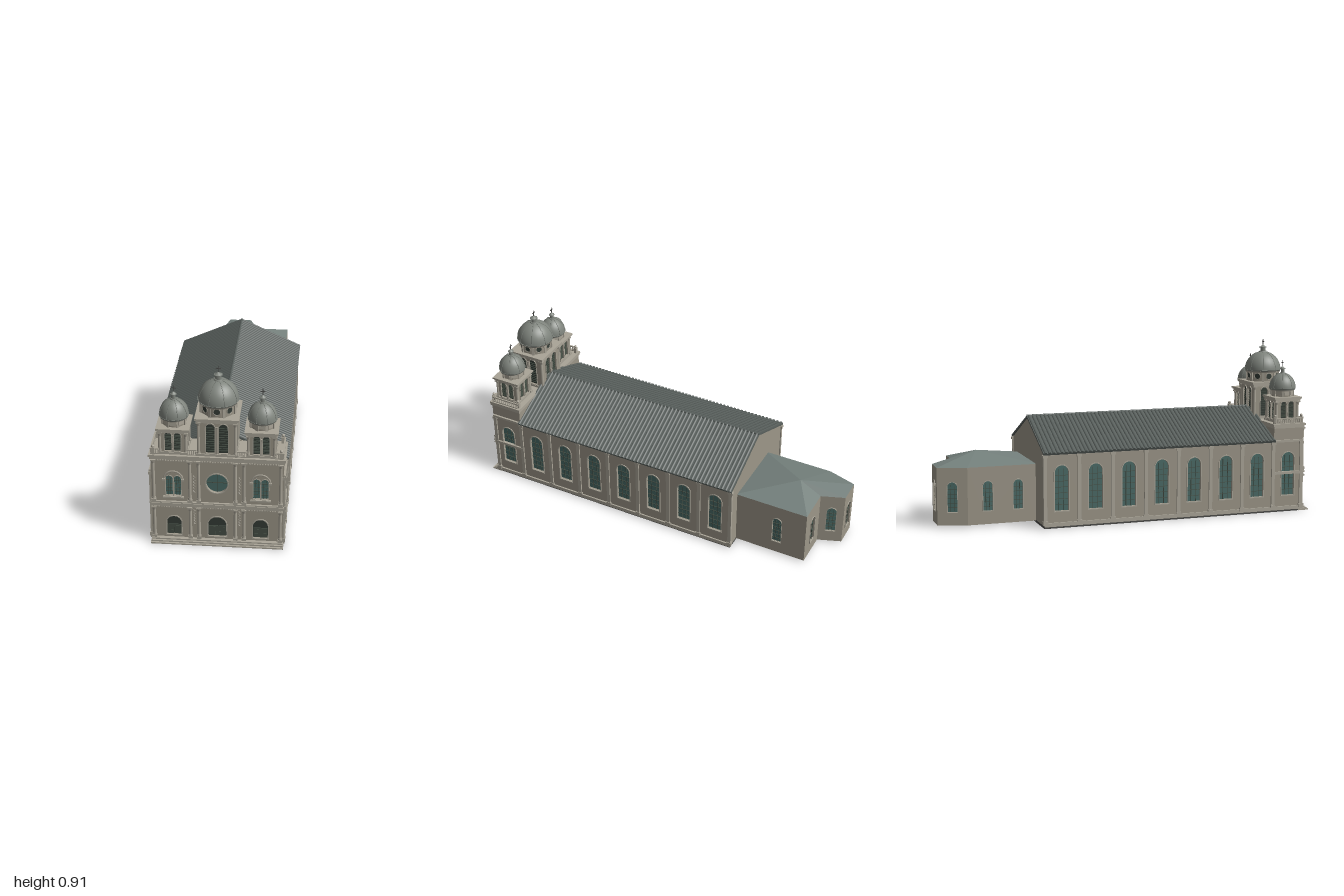
import * as THREE from 'three';
import { mergeGeometries } from 'three/addons/utils/BufferGeometryUtils.js';

const mat = (color) => new THREE.MeshStandardMaterial({ color, side: THREE.DoubleSide });
const STONE = mat(0x9c9688), TRIM = mat(0xaaa598), ROOF = mat(0x5a615e), DOME = mat(0x80857e),
  SLATE = mat(0x74807c), GLASS = mat(0x4a6a66), DARK = mat(0x343c36), LEAF = mat(0x454f45), METAL = mat(0x4a4a48);

const box = (w, h, d, x = 0, y = 0, z = 0) => new THREE.BoxGeometry(w, h, d).translate(x, y, z);
const cyl = (r0, r1, h, x, y, z, n = 10) => new THREE.CylinderGeometry(r1, r0, h, n).translate(x, y + h / 2, z);
const merge = (list) => mergeGeometries(list.map((g) => (g.index ? g.toNonIndexed() : g)));

function add(parent, name, geo, material) {
  const m = new THREE.Mesh(Array.isArray(geo) ? merge(geo) : geo, material);
  m.name = name;
  parent.add(m);
  return m;
}
function group(parent, name, x = 0, y = 0, z = 0, ry = 0) {
  const g = new THREE.Group();
  g.name = name;
  g.position.set(x, y, z);
  g.rotation.y = ry;
  parent.add(g);
  return g;
}

// Outline of an opening, arched or round, grown by t
function outline(C, o, t = 0) {
  const p = new C();
  if (o.round) return p.absarc(o.x, o.y, o.w / 2 + t, 0, Math.PI * 2, false), p;
  const r = o.w / 2 + t;
  p.moveTo(o.x - r, o.y - t);
  p.lineTo(o.x + r, o.y - t);
  p.lineTo(o.x + r, o.y + o.h - o.w / 2);
  p.absarc(o.x, o.y + o.h - o.w / 2, r, 0, Math.PI, false);
  p.closePath();
  return p;
}

// Wall facing local +z with framed openings, filled by glass, louvres or a door
function wall(parent, name, w, h, depth, openings, x, y, z, ry) {
  const g = group(parent, name, x, y, z, ry);
  const s = new THREE.Shape([[-w / 2, 0], [w / 2, 0], [w / 2, h], [-w / 2, h]].map((p) => new THREE.Vector2(...p)));
  const frames = [], fills = { glass: [], dark: [] }, bars = [], leaves = [];
  for (const o of openings) {
    s.holes.push(outline(THREE.Path, o));
    const t = o.t ?? 0.005, f = outline(THREE.Shape, o, t);
    f.holes.push(outline(THREE.Path, o));
    frames.push(new THREE.ExtrudeGeometry(f, { depth: 0.006, bevelEnabled: false, curveSegments: 12 }).translate(0, 0, depth - 0.002));
    fills[o.fill ?? 'glass'].push(new THREE.ShapeGeometry(outline(THREE.Shape, o), 12).translate(0, 0, 0.003));
    if (o.round) bars.push(box(o.w, 0.003, 0.004, o.x, o.y, 0.005), box(0.003, o.w, 0.004, o.x, o.y, 0.005));
    else if (o.door) {
      for (const k of [-1, 1]) {
        leaves.push(box(o.w * 0.47, o.h * 0.5, 0.004, o.x + k * o.w * 0.245, o.y + o.h * 0.25, 0.006));
        for (const v of [0.13, 0.36]) leaves.push(box(o.w * 0.3, o.h * 0.17, 0.004, o.x + k * o.w * 0.245, o.y + o.h * v, 0.008));
      }
    } else {
      const n = o.bars ?? 5, top = o.h - o.w * 0.3;
      for (let i = 1; i <= n; i++) bars.push(box(o.w * 0.98, 0.002, 0.004, o.x, o.y + (top * i) / (n + 1), 0.005));
      if (!o.fill) for (const k of [-1, 1]) bars.push(box(0.002, o.h - o.w * 0.25, 0.004, o.x + k * o.w * 0.18, o.y + (o.h - o.w * 0.25) / 2, 0.005));
    }
  }
  add(g, 'wallPanel', new THREE.ExtrudeGeometry(s, { depth, bevelEnabled: false, curveSegments: 12 }), STONE);
  if (frames.length) add(g, 'openingFrames', frames, TRIM);
  if (fills.glass.length) add(g, 'windowGlass', fills.glass, GLASS);
  if (fills.dark.length) add(g, 'darkOpenings', fills.dark, DARK);
  if (bars.length) add(g, 'windowBars', bars, LEAF);
  if (leaves.length) add(g, 'doorLeaves', leaves, LEAF);
  return g;
}

// Pilaster with base and capital
const column = (x, y, z, r, h) => [
  cyl(r, r * 0.88, h, x, y, z),
  box(r * 2.6, r * 1.6, r * 2.6, x, y + r * 0.8, z), cyl(r * 1.2, r * 1.1, r, x, y + r * 1.6, z),
  cyl(r * 0.9, r * 1.3, r * 1.6, x, y + h - r * 2.4, z), box(r * 2.8, r * 0.8, r * 2.8, x, y + h - r * 0.4, z),
];

// Dome with ribs, rim, lantern and cross
function dome(parent, y, R, H) {
  const g = group(parent, 'dome', 0, y, 0), pts = [];
  for (let i = 0; i <= 14; i++) {
    const a = (i / 14) * Math.PI / 2;
    pts.push(new THREE.Vector2(Math.max(R * Math.cos(a), 0.0001), H * Math.sin(a)));
  }
  add(g, 'domeShell', new THREE.LatheGeometry(pts, 32), DOME);
  const ribs = [];
  for (let k = 0; k < 8; k++)
    ribs.push(new THREE.TorusGeometry(R, 0.002, 4, 14, Math.PI / 2).scale(1, H / R, 1).rotateY((k + 0.5) * Math.PI / 4));
  add(g, 'domeRibs', ribs, DOME);
  add(g, 'domeRim', cyl(R * 0.98, R * 1.03, 0.008, 0, -0.006, 0, 32), DOME);
  const l = R * 0.19;
  add(g, 'lantern', [cyl(l * 1.25, l * 1.1, 0.006, 0, H - 0.003, 0), cyl(l * 0.8, l * 0.8, 0.024, 0, H, 0, 8),
    cyl(l * 1.15, l * 1.15, 0.004, 0, H + 0.022, 0), cyl(l, 0.001, 0.012, 0, H + 0.026, 0)], DOME);
  add(g, 'cross', [box(0.003, 0.04, 0.003, 0, H + 0.05, 0), box(0.024, 0.003, 0.003, 0, H + 0.056, 0)], METAL);
}

// Square bell tower with paired louvred arches on each side
function tower(parent, name, x, z, p) {
  const g = group(parent, name, x, 0, z), y0 = 0.48, y1 = p.top - 0.022, half = p.w / 2;
  add(g, 'towerCore', box(p.w - 0.02, y1 - 0.4, p.w - 0.02, 0, (y1 + 0.4) / 2, 0), STONE);
  for (let k = 0; k < 4; k++) {
    const a = k * Math.PI / 2, d = half - 0.01;
    wall(g, 'belfryWall', p.w, y1 - y0, 0.01, [-1, 1].map((s) => ({ x: s * p.ox, y: 0.015, w: p.ow, h: p.oh, fill: 'dark', bars: 11, t: 0.004 })),
      d * Math.sin(a), y0, d * Math.cos(a), a);
  }
  const cols = [], e = half - 0.003;
  for (const sx of [-1, 1]) for (const sz of [-1, 1]) cols.push(...column(sx * e, y0, sz * e, 0.008, y1 - y0));
  for (let k = 0; k < 4; k++) cols.push(...column(0, y0, half, 0.004, p.oh).map((c) => c.rotateY(k * Math.PI / 2)));
  add(g, 'towerColumns', cols, TRIM);
  add(g, 'towerCornice', [box(p.w + 0.012, 0.012, p.w + 0.012, 0, y0 + 0.005, 0), box(p.w + 0.012, 0.009, p.w + 0.012, 0, y1 + 0.002, 0),
    box(p.w + 0.02, 0.006, p.w + 0.02, 0, y1 + 0.010, 0), box(p.w + 0.03, 0.009, p.w + 0.03, 0, y1 + 0.0175, 0)], TRIM);
  // Octagonal drum
  const h = p.domeY - p.top, R = p.drum;
  add(g, 'drum', new THREE.CylinderGeometry(R, R, h, 8).rotateY(Math.PI / 8).translate(0, p.top + h / 2, 0).toNonIndexed(), STONE);
  const piers = [cyl(R * 1.06, R * 1.1, 0.008, 0, p.domeY - 0.012, 0, 24)], eyes = [], rings = [];
  const q = R * Math.cos(Math.PI / 8);
  for (let k = 0; k < 8; k++) {
    const a = k * Math.PI / 4;
    piers.push(box(0.012, h, 0.01, 0, p.top + h / 2, R - 0.002).rotateY(a + Math.PI / 8));
    const er = h * 0.28, ey = p.top + h * 0.48;
    if (p.eyes) eyes.push(new THREE.CircleGeometry(er, 20).translate(0, ey, q + 0.001).rotateY(a));
    if (p.eyes) rings.push(new THREE.TorusGeometry(er, 0.002, 5, 20).translate(0, ey, q + 0.001).rotateY(a));
    else rings.push(box(0.03, h * 0.55, 0.004, 0, ey, q).rotateY(a));
  }
  add(g, 'drumPiers', piers, TRIM);
  if (eyes.length) add(g, 'drumEyes', eyes, DARK);
  add(g, 'drumTrim', rings, TRIM);
  dome(g, p.domeY, p.R, p.H);
}

export function createModel() {
  const root = new THREE.Group();
  root.name = 'church';

  // Floor, front steps and nave body
  add(root, 'floor', box(0.64, 0.012, 1.46, 0, 0.006, 0.24), METAL);
  add(root, 'frontSteps', [0, 1, 2].map((i) => box(0.645 - i * 0.004, 0.007, 0.06, 0, 0.0035 + i * 0.007, 0.97 - i * 0.01)), TRIM);
  const pent = new THREE.Shape([[-0.305, 0.01], [0.305, 0.01], [0.305, 0.39], [0, 0.53], [-0.305, 0.39]].map((p) => new THREE.Vector2(...p)));
  add(root, 'naveBody', new THREE.ExtrudeGeometry(pent, { depth: 1.29, bevelEnabled: false }).translate(0, 0, -0.49), STONE);

  // Nave side walls with windows and pilasters
  const bays = [0, 1, 2, 3, 4, 5, 6, 7].map((i) => 0.873 - i * 0.1815);
  for (const s of [-1, 1]) {
    wall(root, 'naveSideWall', 1.45, 0.378, 0.014, bays.map((z) => ({ x: -s * (z - 0.235), y: 0.078, w: 0.074, h: 0.235, bars: 6 })),
      s * 0.305, 0.012, 0.235, s * Math.PI / 2);
    const pil = [box(0.02, 0.02, 1.45, s * 0.317, 0.02, 0.235), box(0.022, 0.012, 1.45, s * 0.317, 0.387, 0.235)];
    for (let i = 0; i <= 8; i++) {
      const z = i ? 0.964 - i * 0.1815 + 0.002 : 0.95;
      pil.push(box(0.014, 0.37, 0.018, s * 0.32, 0.2, z), box(0.02, 0.02, 0.026, s * 0.32, 0.03, z), box(0.02, 0.014, 0.026, s * 0.32, 0.375, z));
    }
    pil.push(box(0.016, 0.014, 0.18, s * 0.32, 0.213, 0.87));
    add(root, 'navePilasters', pil, TRIM);
  }

  // Gabled roof with rolls running down the slope
  const slope = Math.atan2(0.15, 0.332), len = Math.hypot(0.15, 0.332), tiles = [];
  for (const s of [-1, 1]) {
    const place = (g) => g.rotateZ(-s * slope).translate(s * 0.166, 0.462, 0);
    tiles.push(place(box(len, 0.01, 1.29, 0, 0, 0.15)));
    for (let i = 0; i < 60; i++)
      tiles.push(place(new THREE.CylinderGeometry(0.0075, 0.0075, len, 6).rotateZ(Math.PI / 2).translate(0, 0.004, -0.484 + i * 0.0215)));
  }
  tiles.push(new THREE.CylinderGeometry(0.008, 0.008, 1.29, 8).rotateX(Math.PI / 2).translate(0, 0.54, 0.15));
  add(root, 'naveRoof', tiles, ROOF);

  // Front facade
  const front = group(root, 'facade');
  add(front, 'facadeBody', [box(0.61, 0.45, 0.155, 0, 0.235, 0.8675), box(0.635, 0.085, 0.165, 0, 0.425, 0.8725)], STONE);
  const holes = [{ x: 0, y: 0.015, w: 0.088, h: 0.11, fill: 'dark', door: true }, { x: 0, y: 0.313, w: 0.104, round: true }];
  for (const s of [-1, 1]) {
    holes.push({ x: s * 0.21, y: 0.015, w: 0.072, h: 0.105, fill: 'dark', door: true });
    for (const k of [-1, 1]) holes.push({ x: s * 0.21 + k * 0.02, y: 0.235, w: 0.034, h: 0.112, bars: 4, t: 0.003 });
  }
  wall(front, 'facadeWall', 0.635, 0.44, 0.015, holes, 0, 0.02, 0.946, 0);
  const trim = [];
  for (const x of [-0.305, -0.13, -0.088, 0.088, 0.13, 0.305])
    trim.push(...column(x, 0.022, 0.964, 0.0085, 0.175), ...column(x, 0.226, 0.964, 0.0085, 0.23));
  for (const [y, w, h, d] of [[0.203, 0.636, 0.008, 0.02], [0.214, 0.642, 0.01, 0.028], [0.223, 0.636, 0.006, 0.024]])
    trim.push(box(w, h, d, 0, y, 0.96));
  trim.push(box(0.645, 0.012, 0.18, 0, 0.462, 0.8775), box(0.655, 0.012, 0.188, 0, 0.474, 0.8775));
  for (let i = 0; i < 50; i++) for (const y of [0.196, 0.453]) trim.push(box(0.006, 0.005, 0.012, -0.306 + i * 0.01249, y, 0.966));
  for (const s of [-1, 1]) {
    // Hood mould and sill of the paired windows
    trim.push(new THREE.TorusGeometry(0.046, 0.004, 5, 20, Math.PI).translate(s * 0.21, 0.346, 0.963));
    trim.push(box(0.1, 0.008, 0.02, s * 0.21, 0.25, 0.962));
    for (const k of [-1, 1]) trim.push(box(0.014, 0.008, 0.016, s * 0.21 + k * 0.046, 0.346, 0.963));
    // Twisted strips between the pilasters
    for (const [y, h] of [[0.1, 0.085], [0.28, 0.095]]) {
      const pts = [];
      for (let i = 0; i <= 40; i++) pts.push(new THREE.Vector3(s * 0.109 + 0.004 * Math.cos(i * 0.9), y + (h * i) / 40, 0.963 + 0.004 * Math.sin(i * 0.9)));
      trim.push(new THREE.TubeGeometry(new THREE.CatmullRomCurve3(pts), 80, 0.0022, 4));
    }
  }
  add(front, 'facadeTrim', trim, TRIM);

  // Balustrades and corner urns
  const rail = [];
  const run = (x0, z0, x1, z1, n) => {
    for (let i = 0; i <= n; i++) rail.push(cyl(0.004, 0.0025, 0.026, x0 + ((x1 - x0) * i) / n, 0.48, z0 + ((z1 - z0) * i) / n, 6));
    for (const y of [0.482, 0.508]) rail.push(box(Math.abs(x1 - x0) + 0.008, 0.006, Math.abs(z1 - z0) + 0.008, (x0 + x1) / 2, y, (z0 + z1) / 2));
  };
  for (const s of [-1, 1]) {
    run(s * 0.1, 0.955, s * 0.14, 0.955, 4);
    run(s * 0.28, 0.955, s * 0.315, 0.955, 3);
    run(s * 0.315, 0.955, s * 0.315, 0.8, 12);
    for (const z of [0.955, 0.8]) rail.push(box(0.016, 0.036, 0.016, s * 0.305, 0.496, z), new THREE.SphereGeometry(0.008, 10, 8).translate(s * 0.305, 0.521, z));
  }
  add(front, 'balustrade', rail, TRIM);

  // Bell towers
  const small = { w: 0.13, top: 0.618, ox: 0.022, ow: 0.032, oh: 0.1, drum: 0.06, domeY: 0.66, R: 0.07, H: 0.082 };
  for (const s of [-1, 1]) tower(root, 'sideTower', s * 0.21, 0.885, small);
  tower(root, 'centralTower', 0, 0.864, { w: 0.18, top: 0.682, ox: 0.031, ow: 0.042, oh: 0.157, drum: 0.088, domeY: 0.742, R: 0.097, H: 0.1, eyes: true });

  // Rear annex with its polygonal apse and hipped roof
  const annex = group(root, 'annex');
  const pts = [[0.245, -0.48], [0.245, -0.88], [0.06, -0.88], [0.015, -1], [-0.11, -1], [-0.155, -0.85], [-0.155, -0.48]];
  const wins = [[0.04], [0], [0], [0], [0], [-0.08, 0.08]], tri = [];
  pts.forEach(([x, z], i) => {
    const [qx, qz] = pts[(i + 1) % pts.length], dx = qx - x, dz = qz - z, L = Math.hypot(dx, dz), d = 0.01;
    tri.push(x, 0.31, z, qx, 0.31, qz, 0.05, 0.366, -0.76);
    if (wins[i]) wall(annex, 'annexWall', L, 0.3, d, wins[i].map((wx) => ({ x: wx, y: 0.07, w: 0.05, h: 0.155, t: 0.003 })),
      (x + qx) / 2 + (dz / L) * d, 0.01, (z + qz) / 2 - (dx / L) * d, Math.atan2(-dz, dx));
  });
  const roof = new THREE.BufferGeometry();
  roof.setAttribute('position', new THREE.Float32BufferAttribute(tri, 3));
  roof.computeVertexNormals();
  add(annex, 'annexRoof', roof, SLATE);
  return root;
}
